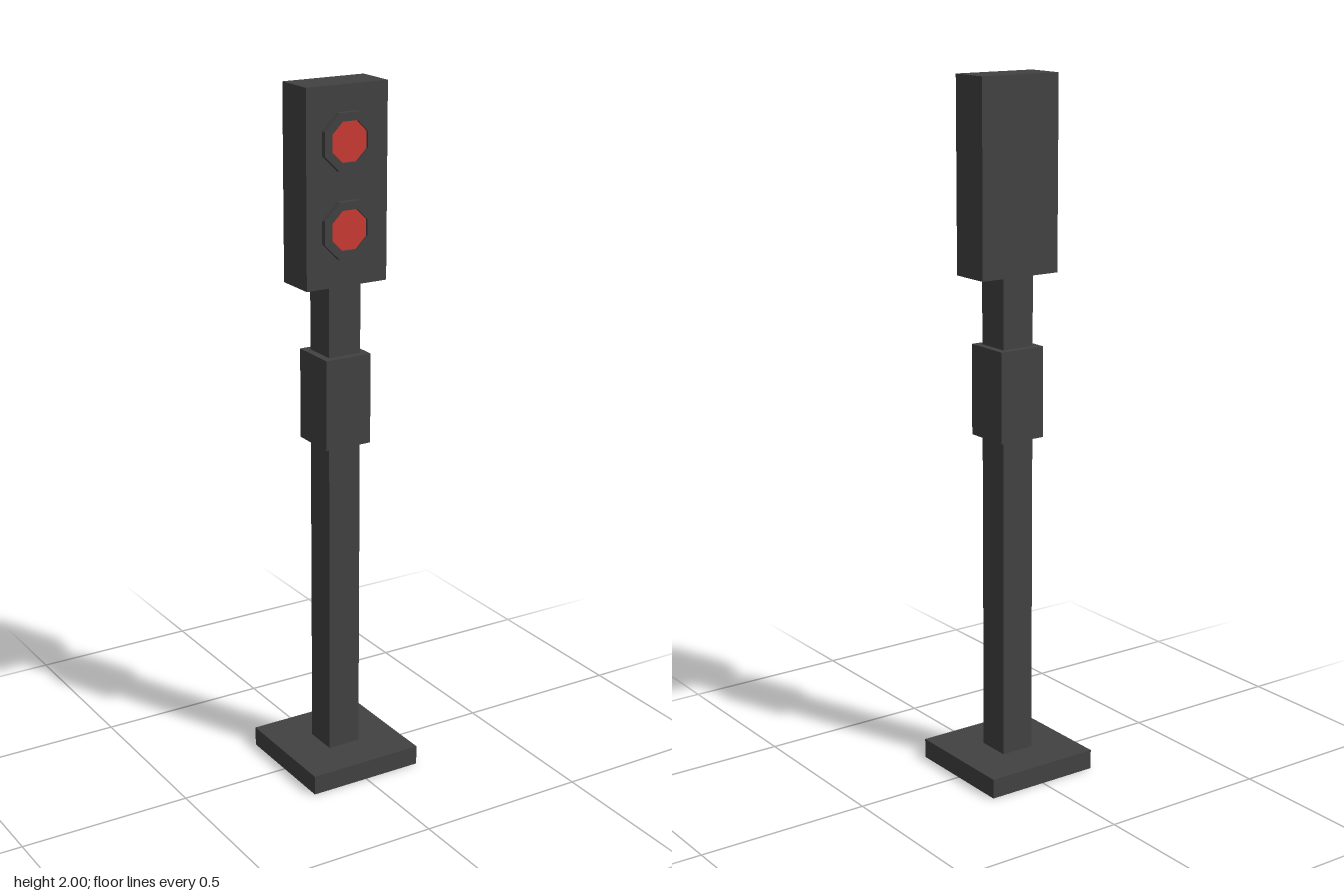
import * as THREE from 'three';

const darkMetal = new THREE.MeshStandardMaterial({ color: 0x424242 });
darkMetal.name = 'darkMetal';
const redLens = new THREE.MeshStandardMaterial({ color: 0xcc3b33 });
redLens.name = 'redLens';

// Octagon outline with flat top, sized by its half width
function octagon(halfWidth, Type = THREE.Shape) {
  const r = halfWidth / Math.cos(Math.PI / 8);
  const points = [];
  for (let i = 0; i < 8; i++) {
    const a = (i + 0.5) * Math.PI / 4;
    points.push(new THREE.Vector2(r * Math.cos(a), r * Math.sin(a)));
  }
  return new Type(points);
}

export function createModel() {
  const model = new THREE.Group();
  model.name = 'signalPost';

  function add(name, geometry, material, x, y, z) {
    const mesh = new THREE.Mesh(geometry, material);
    mesh.name = name;
    mesh.position.set(x, y, z);
    model.add(mesh);
  }

  // Box standing between two heights
  function block(name, width, depth, y0, y1) {
    add(name, new THREE.BoxGeometry(width, y1 - y0, depth), darkMetal, 0, (y0 + y1) / 2, 0);
  }

  block('basePlate', 0.348, 0.348, 0, 0.057);
  block('pole', 0.1, 0.1, 0.057, 1.455);
  block('controlBox', 0.142, 0.142, 0.995, 1.255);
  block('signalHead', 0.252, 0.122, 1.455, 2);

  // Two lamps: octagonal rim around a slightly sunken lens
  const rimShape = octagon(0.078);
  rimShape.holes.push(octagon(0.055, THREE.Path));
  const rim = new THREE.ExtrudeGeometry(rimShape, { depth: 0.015, bevelEnabled: false });
  const lens = new THREE.ExtrudeGeometry(octagon(0.055), { depth: 0.008, bevelEnabled: false });
  for (const [label, y] of [['upper', 1.85], ['lower', 1.612]]) {
    add(label + 'LampRim', rim, darkMetal, 0, y, 0.061);
    add(label + 'LampLens', lens, redLens, 0, y, 0.061);
  }
  return model;
}
